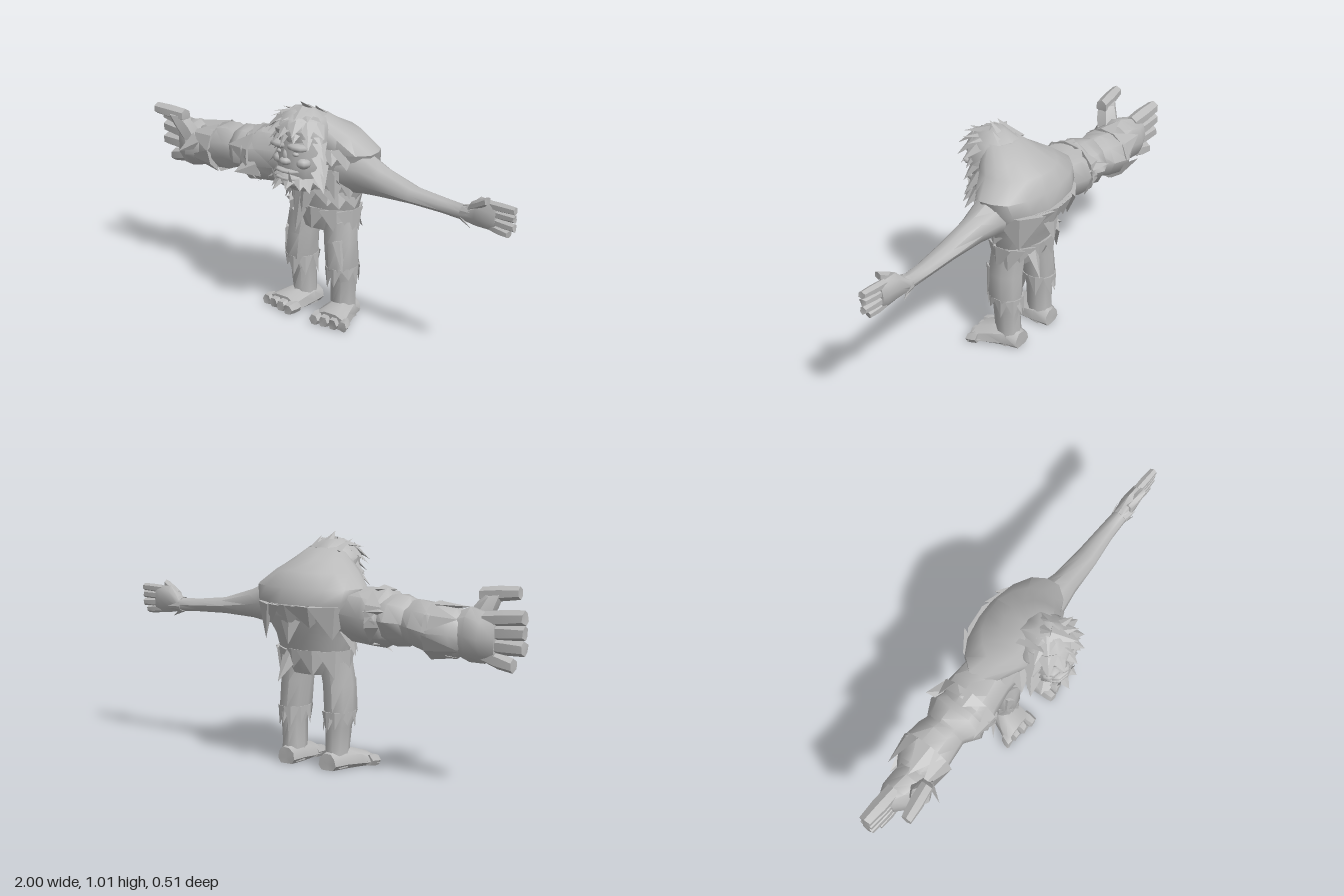
import * as THREE from 'three';
import { mergeGeometries, toCreasedNormals } from 'three/addons/utils/BufferGeometryUtils.js';

const grey = new THREE.MeshStandardMaterial({ color: 0xb9b9b9, side: THREE.DoubleSide });
grey.name = 'stone grey';

let seed = 7;
const rnd = () => (seed = (seed * 16807) % 2147483647) / 2147483647;
const jit = (a) => (rnd() - 0.5) * 2 * a;
const V = (x, y, z) => new THREE.Vector3(x, y, z);

// Loft of elliptical rings [x, y, z, ru, rv] along an axis (0 x, 1 y, 2 z);
// ru and rv are the radii along the next two axes in cyclic order.
function loft(axis, sections, sides = 10, rough = 0) {
  const u = (axis + 1) % 3, v = (axis + 2) % 3;
  const rings = [...sections].sort((a, b) => a[axis] - b[axis]);
  const pos = [], idx = [];
  for (const s of rings) {
    for (let j = 0; j < sides; j++) {
      const t = ((j + 0.5) / sides) * Math.PI * 2, k = 1 + jit(rough);
      const p = [s[0], s[1], s[2]];
      p[axis] += jit(rough * 0.1);
      p[u] += s[3] * k * Math.sin(t);
      p[v] += s[4] * k * Math.cos(t);
      p[1] = Math.max(p[1], 0.012); // soles stay flat
      pos.push(...p);
    }
  }
  const last = (rings.length - 1) * sides, c0 = rings.length * sides;
  pos.push(...rings[0].slice(0, 3), ...rings[rings.length - 1].slice(0, 3));
  for (let j = 0; j < sides; j++) {
    const n = (j + 1) % sides;
    for (let r = 0; r < last; r += sides) {
      idx.push(r + j, r + sides + j, r + n, r + n, r + sides + j, r + sides + n);
    }
    idx.push(c0, j, n, c0 + 1, last + n, last + j);
  }
  const g = new THREE.BufferGeometry();
  g.setAttribute('position', new THREE.Float32BufferAttribute(pos, 3));
  g.setIndex(idx);
  return toCreasedNormals(g, 0.8);
}

// Flat pointed lock of fur from base to tip
function tuft(base, tip, width, out) {
  const y = tip.clone().sub(base), len = y.length();
  y.normalize();
  const x = y.clone().cross(out).normalize(), z = x.clone().cross(y);
  const g = new THREE.ConeGeometry(width, len, 4).toNonIndexed();
  g.deleteAttribute('uv');
  g.translate(0, len / 2, 0).scale(1, 1, 0.3);
  g.applyMatrix4(new THREE.Matrix4().makeBasis(x, y, z).setPosition(base));
  g.computeVertexNormals();
  return g;
}

// Ring of locks round an axis; drop is the offset along the axis, flare the spread
function furRing(axis, c, ru, rv, n, drop, flare, width, from = 0, to = Math.PI * 2) {
  const u = (axis + 1) % 3, v = (axis + 2) % 3, list = [];
  for (let i = 0; i < n; i++) {
    const t = from + ((i + 0.5 + jit(0.25)) / n) * (to - from);
    const out = [0, 0, 0], b = [...c], e = [...c], f = flare * (0.5 + rnd());
    out[u] = Math.sin(t);
    out[v] = Math.cos(t);
    b[u] += out[u] * ru * 0.95;
    b[v] += out[v] * rv * 0.95;
    e[u] += out[u] * (ru + f);
    e[v] += out[v] * (rv + f);
    e[axis] += drop * (0.6 + rnd() * 0.7);
    list.push(tuft(V(...b), V(...e), width, V(...out)));
  }
  return list;
}

export function createModel() {
  const model = new THREE.Group();
  const add = (name, ...geos) => {
    const m = new THREE.Mesh(geos.length > 1 ? mergeGeometries(geos) : geos[0], grey);
    m.name = name;
    model.add(m);
  };
  const blob = (x, y, z, sx, sy, sz) => new THREE.SphereGeometry(1, 8, 6).scale(sx, sy, sz).translate(x, y, z);

  // Hunched torso
  add('torso', loft(1, [
    [0, 0.42, -0.075, 0.07, 0.12], [0, 0.5, -0.08, 0.098, 0.17], [0.005, 0.59, -0.085, 0.112, 0.185],
    [0.01, 0.67, -0.1, 0.145, 0.22], [0.01, 0.74, -0.1, 0.152, 0.25], [0.01, 0.8, -0.085, 0.15, 0.27],
    [0.01, 0.865, -0.05, 0.155, 0.19], [0.015, 0.91, -0.005, 0.115, 0.13], [0.02, 0.955, 0.035, 0.075, 0.075],
  ], 16, 0.03));
  // Ragged hem, chest fur, shoulder mane and back cloak
  add('torsoFur',
    ...furRing(1, [0, 0.53, -0.08], 0.1, 0.17, 11, -0.1, 0.01, 0.075),
    ...furRing(1, [0, 0.62, -0.085], 0.112, 0.18, 7, -0.1, 0.025, 0.07, -0.1, Math.PI + 0.1),
    ...furRing(1, [0.01, 0.72, -0.09], 0.14, 0.21, 8, -0.12, 0.02, 0.07, -0.1, Math.PI + 0.1),
    ...furRing(1, [0.01, 0.73, -0.1], 0.148, 0.23, 5, -0.13, -0.01, 0.11, Math.PI * 1.1, Math.PI * 1.9),
    ...furRing(1, [0.01, 0.82, -0.05], 0.12, 0.2, 11, -0.1, 0.05, 0.06, -0.4, Math.PI + 0.4),
    tuft(V(0.06, 0.52, -0.16), V(0.09, 0.39, -0.23), 0.05, V(0, 0, -1)),
    tuft(V(0.02, 0.72, -0.22), V(0.02, 0.56, -0.25), 0.08, V(0, 0, -1)),
    tuft(V(-0.04, 0.58, 0.02), V(-0.05, 0.41, 0.06), 0.06, V(0, 0, 1)));

  // Head with face
  add('head', loft(1, [
    [0.01, 0.635, 0.08, 0.05, 0.06], [0.01, 0.68, 0.09, 0.08, 0.095], [0.01, 0.76, 0.085, 0.095, 0.105],
    [0.01, 0.85, 0.08, 0.1, 0.11], [0.015, 0.92, 0.08, 0.095, 0.095], [0.02, 0.97, 0.07, 0.05, 0.05],
  ], 14, 0.02));
  add('jaw', blob(0.005, 0.69, 0.13, 0.085, 0.04, 0.07));
  add('nose', blob(0.005, 0.775, 0.175, 0.03, 0.018, 0.028), blob(0.005, 0.8, 0.17, 0.014, 0.03, 0.02));
  for (const dy of [0, 0.032]) add('lip', blob(0.005, 0.7 + dy, 0.165, 0.065, 0.011, 0.035));
  for (const s of [-1, 1]) {
    add('brow', blob(0.01 + s * 0.048, 0.84, 0.16, 0.055, 0.018, 0.033));
    add('eye', blob(0.01 + s * 0.045, 0.81, 0.166, 0.016, 0.01, 0.014));
    add('cheek', blob(0.01 + s * 0.065, 0.77, 0.14, 0.034, 0.025, 0.035));
    add('tusk', tuft(V(s * 0.045, 0.695, 0.19), V(s * 0.05, 0.745, 0.205), 0.012, V(0, 0, 1)));
  }
  // Shaggy hair swept forward from the crown and down the sides
  add('hairCap', loft(1, [
    [0.015, 0.86, 0.06, 0.12, 0.125], [0.015, 0.91, 0.075, 0.125, 0.12],
    [0.015, 0.955, 0.075, 0.105, 0.095], [0.02, 0.985, 0.08, 0.055, 0.045],
  ], 11, 0.07));
  add('hair', ...[-3, -2, -1, 0, 1, 2, 3].flatMap((i) => {
    const a = i * 0.42, dx = Math.sin(a), dz = Math.cos(a);
    const at = (r, y) => V(0.015 + dx * r, y + jit(0.015), 0.07 + dz * r);
    return [
      tuft(at(0.02, 0.975), at(0.14, 0.955), 0.04, V(dx * 0.4, 1, dz * 0.4)),
      tuft(at(0.09, 0.945), at(0.165, 0.895), 0.045, V(dx, 1, dz)),
      tuft(at(0.105, 0.905), at(0.15, 0.83 + Math.abs(dz) * 0.03), 0.03, V(dx, 0.2, dz)),
    ];
  }),
    tuft(V(0.01, 0.95, 0), V(0.02, 1.02, 0.1), 0.045, V(0, 1, 0.3)),
    tuft(V(0.05, 0.93, -0.02), V(0.06, 1.0, 0.05), 0.045, V(0, 1, 0.3)),
    tuft(V(-0.04, 0.94, 0), V(-0.06, 0.99, 0.12), 0.045, V(0, 1, 0.3)));
  add('beard', ...furRing(1, [0.01, 0.7, 0.1], 0.085, 0.095, 8, -0.04, 0.035, 0.035, -0.2, Math.PI + 0.2),
    ...[-1, 1].flatMap((s) => [0.72, 0.79, 0.86].map((y) =>
      tuft(V(0.01 + s * 0.09, y + 0.03, 0.08), V(0.01 + s * 0.16, y - 0.07, 0.12), 0.05, V(s, 0, 0.5)))));

  // Tapered digit with a knuckle, between two points along an axis
  const digit = (name, axis, a, b, r) => add(name, loft(axis, [
    [...a, r, r], ...[[...a.map((n, i) => (n + b[i]) / 2), r * 1.05, r * 1.1]], [...b, r * 0.88, r * 0.88],
  ], 6, 0.05));

  // Legs, knee fur and feet
  for (const s of [-1, 1]) {
    const side = s > 0 ? 'left' : 'right';
    add(side + 'Leg', loft(1, [
      [s * 0.115, 0.02, -0.08, 0.06, 0.055], [s * 0.115, 0.1, -0.075, 0.06, 0.052],
      [s * 0.118, 0.2, -0.072, 0.063, 0.056], [s * 0.12, 0.26, -0.062, 0.084, 0.068],
      [s * 0.112, 0.38, -0.06, 0.078, 0.074], [s * 0.1, 0.48, -0.07, 0.075, 0.075],
    ], 9, 0.04));
    add(side + 'LegFur',
      ...furRing(1, [s * 0.118, 0.265, -0.064], 0.078, 0.062, 8, -0.08, 0.006, 0.036),
      tuft(V(s * 0.15, 0.4, 0), V(s * 0.17, 0.25, 0.0), 0.03, V(s, 0, 0.5)),
      tuft(V(s * 0.12, 0.27, -0.13), V(s * 0.12, 0.19, -0.155), 0.03, V(0, 0, -1)));
    add(side + 'Foot', loft(2, [
      [s * 0.11, 0.04, -0.145, 0.045, 0.045], [s * 0.115, 0.045, -0.08, 0.062, 0.065],
      [s * 0.13, 0.04, -0.01, 0.08, 0.058], [s * 0.145, 0.035, 0.05, 0.095, 0.042],
    ], 9, 0.03));
    for (let i = 0; i < 4; i++) {
      const x = 0.078 + i * 0.043;
      digit(side + 'Toe', 2, [s * x, 0.038, 0.02], [s * (x + i * 0.006), 0.036, 0.085 - i * 0.008], 0.028);
    }
    add(side + 'ToeClaw', tuft(V(s * 0.2, 0.035, 0.03), V(s * 0.25, 0.025, 0.06), 0.03, V(0, 1, 0)));
  }

  // Massive right arm in flaring, overlapping bulges
  add('rightUpperArm', loft(0, [
    [-0.1, 0.7, -0.07, 0.11, 0.11], [-0.2, 0.7, -0.065, 0.12, 0.115], [-0.3, 0.69, -0.06, 0.122, 0.125],
    [-0.37, 0.685, -0.055, 0.125, 0.14], [-0.41, 0.68, -0.06, 0.09, 0.1],
  ], 9, 0.07));
  add('rightElbow', loft(0, [
    [-0.35, 0.685, -0.06, 0.1, 0.11], [-0.42, 0.685, -0.06, 0.11, 0.135],
    [-0.48, 0.68, -0.065, 0.1, 0.1], [-0.52, 0.67, -0.065, 0.075, 0.08],
  ], 9, 0.06));
  add('rightForearm', loft(0, [
    [-0.46, 0.675, -0.065, 0.085, 0.085], [-0.53, 0.67, -0.07, 0.105, 0.105], [-0.62, 0.655, -0.075, 0.11, 0.12],
    [-0.7, 0.65, -0.065, 0.105, 0.09], [-0.74, 0.645, -0.055, 0.075, 0.07],
  ], 9, 0.06));
  add('rightArmFur',
    ...furRing(0, [-0.33, 0.69, -0.06], 0.115, 0.125, 6, -0.1, 0.0, 0.075),
    ...furRing(0, [-0.6, 0.655, -0.07], 0.105, 0.11, 6, -0.13, 0.0, 0.07),
    tuft(V(-0.36, 0.72, -0.15), V(-0.42, 0.73, -0.22), 0.06, V(0, 1, 0)),
    tuft(V(-0.3, 0.66, 0.04), V(-0.38, 0.62, 0.1), 0.06, V(0, 0, 1)),
    tuft(V(-0.24, 0.63, -0.06), V(-0.38, 0.54, -0.05), 0.06, V(0, -1, 0)));
  add('rightPalm', loft(0, [
    [-0.68, 0.645, -0.05, 0.085, 0.075], [-0.75, 0.65, -0.04, 0.115, 0.095],
    [-0.82, 0.64, -0.055, 0.105, 0.08], [-0.88, 0.645, -0.068, 0.09, 0.04],
  ], 9, 0.04));
  [[0.715, 0.735, 1], [0.665, 0.675, 1], [0.615, 0.612, 1], [0.575, 0.54, 0.95]].forEach(([a, b, x]) =>
    digit('rightFinger', 0, [-0.82, a, -0.065], [-x, b, -0.07], 0.034));
  digit('rightThumbBase', 1, [-0.74, 0.68, 0.01], [-0.79, 0.8, 0.055], 0.048);
  digit('rightThumb', 0, [-0.74, 0.8, 0.05], [-0.9, 0.812, 0.075], 0.03);
  add('rightHandFur', tuft(V(-0.7, 0.68, 0.02), V(-0.74, 0.64, 0.1), 0.05, V(1, 0, 0)));

  // Thin left arm and hand
  add('leftArm', loft(0, [
    [0.14, 0.71, -0.07, 0.11, 0.1], [0.25, 0.71, -0.07, 0.09, 0.08], [0.34, 0.695, -0.068, 0.065, 0.06],
    [0.5, 0.675, -0.068, 0.036, 0.05], [0.65, 0.665, -0.075, 0.03, 0.038], [0.76, 0.66, -0.075, 0.031, 0.034],
    [0.82, 0.68, -0.075, 0.062, 0.038], [0.88, 0.678, -0.075, 0.064, 0.03], [0.91, 0.675, -0.075, 0.056, 0.022],
  ], 9, 0.03));
  add('leftWristFur', ...furRing(0, [0.75, 0.66, -0.075], 0.03, 0.033, 5, 0.06, 0.02, 0.02));
  [[0.722, 0.725], [0.692, 0.693], [0.66, 0.655], [0.632, 0.622]].forEach(([a, b], i) =>
    digit('leftFinger', 0, [0.88, a, -0.075], [i === 3 ? 0.97 : 0.995, b, -0.07], 0.019));
  digit('leftThumb', 0, [0.79, 0.7, -0.06], [0.88, 0.745, -0.045], 0.02);
  return model;
}
